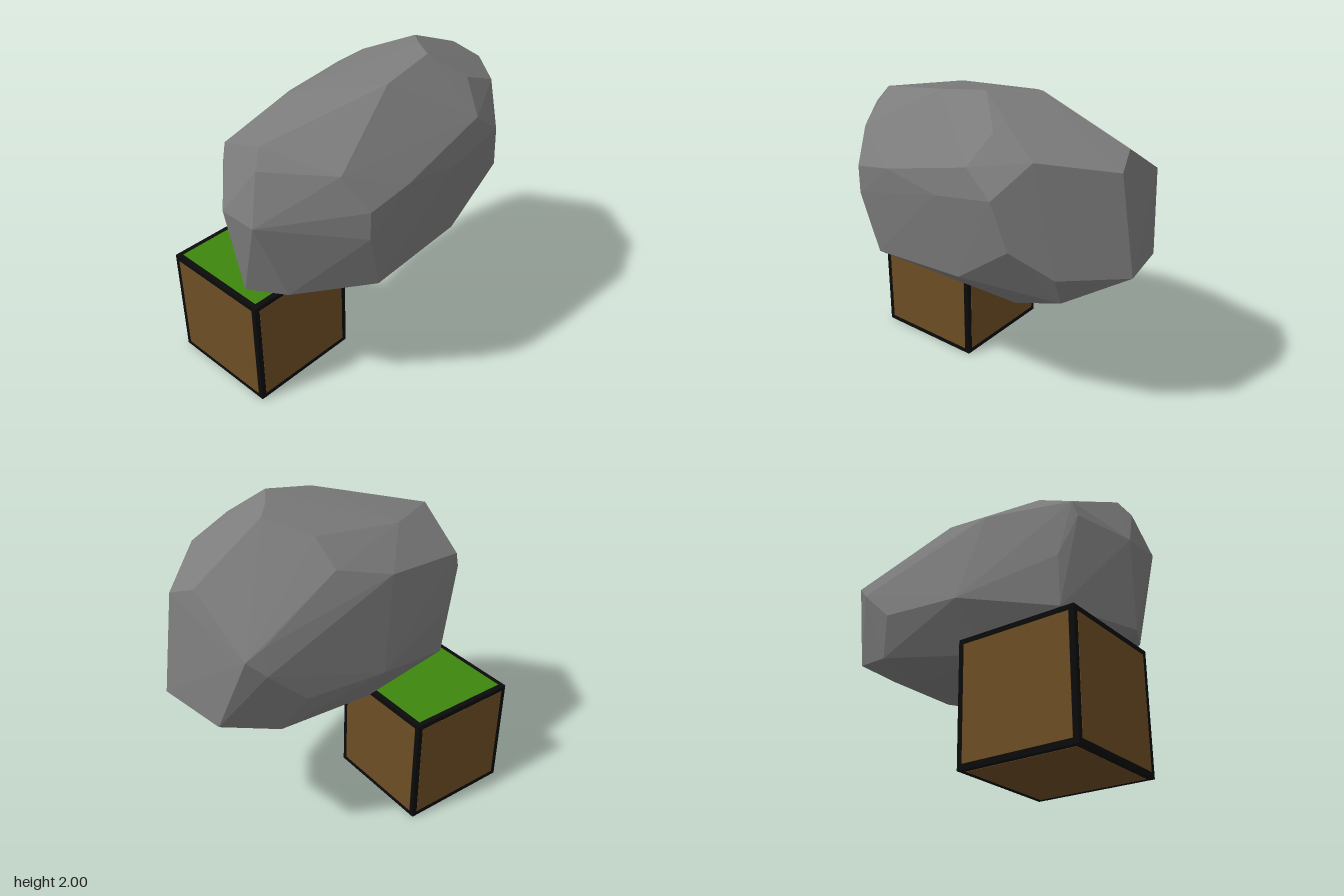
import * as THREE from 'three';
import { ConvexGeometry } from 'three/addons/geometries/ConvexGeometry.js';

function material(name, color) {
  const m = new THREE.MeshStandardMaterial({ color });
  m.name = name;
  return m;
}

export function createModel() {
  const group = new THREE.Group();
  const black = material('black', 0x0b0b0b);
  const brown = material('brown', 0x6d4e24);
  const green = material('green', 0x3e870f);
  const grey = material('rockGrey', 0x7c7c7c);

  // Block: black cube with an inset panel on each face
  const size = 0.724, border = 0.032, thick = 0.004;
  const block = new THREE.Group();
  block.name = 'block';
  block.position.set(-0.288, size / 2 + thick / 2, 0.592);
  const core = new THREE.Mesh(new THREE.BoxGeometry(size, size, size), black);
  core.name = 'blockFrame';
  block.add(core);

  const side = size - border * 2;
  const panelGeometry = new THREE.BoxGeometry(side, side, thick);
  const panels = [
    ['frontPanel', brown, [0, 0, 1]],
    ['backPanel', brown, [0, 0, -1]],
    ['leftPanel', brown, [1, 0, 0]],
    ['rightPanel', brown, [-1, 0, 0]],
    ['topPanel', green, [0, 1, 0]],
    ['bottomPanel', brown, [0, -1, 0]],
  ];
  for (const [name, mat, dir] of panels) {
    const normal = new THREE.Vector3(...dir);
    const panel = new THREE.Mesh(panelGeometry, mat);
    panel.name = name;
    panel.quaternion.setFromUnitVectors(new THREE.Vector3(0, 0, 1), normal);
    panel.position.copy(normal).multiplyScalar(size / 2);
    block.add(panel);
  }
  group.add(block);

  // Boulder: faceted convex stone, corners listed by region
  const corners = [
    // front end
    [0.17, 1.36, 1.0], [-0.08, 1.35, 0.99], [0, 0.83, 0.95], [0.24, 0.86, 0.84],
    [0.12, 1.65, 0.91], [0.08, 1.75, 0.84], [-0.3, 1.48, 0.79], [-0.31, 1.58, 0.76],
    // left flank
    [0.47, 1.65, 0.65], [0.61, 1.46, 0.58], [0.61, 1.29, 0.58], [0.58, 0.92, 0.48],
    [0.585, 0.97, -0.15], [0.635, 1.52, 0.32], [0.65, 1.47, -0.05], [0.63, 1.68, -0.26],
    [0.645, 1.54, -0.43], [0.6, 1.25, -0.51],
    // crown
    [0.34, 2.0, -0.16], [0.34, 1.94, 0.16], [0.2, 1.99, -0.25], [0.09, 1.97, -0.35],
    [-0.13, 1.88, -0.15], [-0.31, 1.75, -0.14], [-0.15, 1.81, 0.43], [-0.39, 1.65, 0.2],
    [0.49, 1.85, -0.33], [0.48, 1.74, -0.58],
    // back end
    [0.13, 1.06, -1.0], [0.15, 1.66, -0.91], [-0.01, 1.73, -0.85], [-0.27, 1.01, -0.9],
    [-0.42, 1.47, -0.8], [-0.41, 1.51, -0.68], [0.43, 1.07, -0.7], [0.34, 0.88, -0.68],
    // right flank
    [-0.47, 1.37, -0.7], [-0.5, 1.15, -0.47], [-0.5, 1.1, 0.07], [-0.35, 1.24, 0.68],
    [-0.33, 0.93, 0.67],
    // underside
    [-0.4, 0.93, -0.58], [-0.3, 0.8, 0.12], [-0.16, 0.81, -0.56], [0.36, 0.78, -0.38],
    [0.1, 0.68, 0.54], [0, 0.71, 0.72],
  ].map((p) => new THREE.Vector3(...p));
  const boulder = new THREE.Mesh(new ConvexGeometry(corners), grey);
  boulder.name = 'boulder';
  group.add(boulder);

  return group;
}
